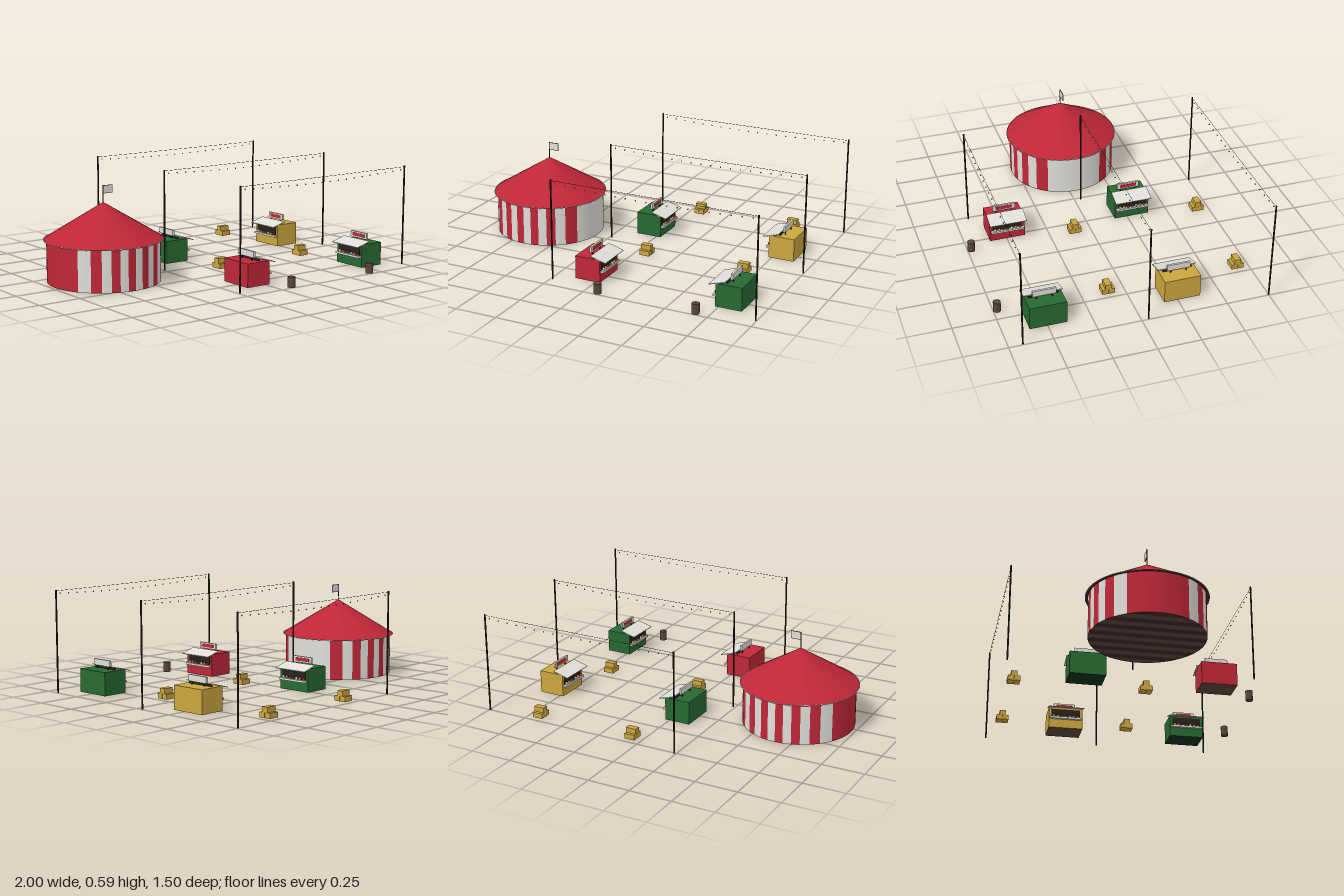
import * as THREE from 'three';

const mat = (name, color, side = THREE.FrontSide) => {
  const m = new THREE.MeshStandardMaterial({ color, side });
  m.name = name;
  return m;
};

export function createModel() {
  const red = mat('red', 0xbf2738, THREE.DoubleSide);
  const white = mat('canvas white', 0xe0ded8, THREE.DoubleSide);
  const green = mat('green', 0x276a31);
  const gold = mat('straw gold', 0xcba63e);
  const dark = mat('dark iron', 0x2a211a);
  const brown = mat('barrel brown', 0x5c443a);
  const maroon = mat('deep maroon', 0x40252a);
  const deepGreen = mat('deep green', 0x12301c);

  const group = (name, parent, x = 0, y = 0, z = 0) => {
    const g = new THREE.Group();
    g.name = name;
    g.position.set(x, y, z);
    parent.add(g);
    return g;
  };
  const add = (parent, name, geo, material, x = 0, y = 0, z = 0) => {
    const m = new THREE.Mesh(geo, material);
    m.name = name;
    m.position.set(x, y, z);
    parent.add(m);
    return m;
  };
  const box = (parent, name, material, w, h, d, x, y, z) =>
    add(parent, name, new THREE.BoxGeometry(w, h, d), material, x, y, z);

  const fair = new THREE.Group();
  fair.name = 'fairground';

  // Big round tent: stripes are equal bands across x, so they widen at both ends
  const tent = group('tent', fair, -0.658, 0, -0.04);
  const R = 0.323, H = 0.24, bands = 14;
  for (let i = 0; i < bands; i++) {
    const a = Math.asin(-1 + 2 * i / bands);
    const b = Math.asin(Math.min(1, -1 + 2 * (i + 1) / bands));
    const segs = Math.ceil((b - a) / 0.09);
    for (const start of [a, Math.PI - b]) {
      add(tent, 'wallStripe', new THREE.CylinderGeometry(R, R, H, segs, 1, true, start, b - a),
        i % 2 ? white : red, 0, H / 2, 0);
    }
    // Matching band of the floor, facing down
    const front = [], back = [];
    for (let k = 0; k <= segs; k++) {
      const t = a + (b - a) * k / segs;
      front.push(new THREE.Vector2(R * Math.sin(t), R * Math.cos(t)));
      back.unshift(new THREE.Vector2(R * Math.sin(t), -R * Math.cos(t)));
    }
    const floor = add(tent, 'floorStripe', new THREE.ShapeGeometry(new THREE.Shape([...front, ...back])),
      i % 2 ? brown : maroon, 0, 0.001, 0);
    floor.rotation.x = Math.PI / 2;
  }
  add(tent, 'roof', new THREE.ConeGeometry(0.342, 0.21, 24), [red, red, maroon], 0, 0.345, 0);
  const trim = add(tent, 'eaveTrim', new THREE.TorusGeometry(0.339, 0.002, 6, 72), white, 0, 0.2415, 0);
  trim.rotation.x = Math.PI / 2;
  add(tent, 'flagPole', new THREE.CylinderGeometry(0.003, 0.003, 0.1, 8), dark, 0, 0.495, 0);
  box(tent, 'flag', white, 0.06, 0.04, 0.004, 0.031, 0.521, 0);
  for (const y of [0.4995, 0.5425]) box(tent, 'flagHem', red, 0.06, 0.003, 0.004, 0.031, y, 0);

  // Market stall facing +x, with counter, prizes, awning and rooftop sign
  const stall = (body, base, x, z, turn) => {
    const s = group('stall', fair, x, 0, z);
    s.rotation.y = turn;
    const walls = [body, body, body, base, body, body];
    box(s, 'body', walls, 0.155, 0.136, 0.212, 0, 0.068, 0);
    box(s, 'servingWindow', dark, 0.004, 0.052, 0.18, 0.078, 0.096, 0);
    box(s, 'counter', white, 0.018, 0.012, 0.2, 0.087, 0.062, 0);
    for (let i = 0; i < 7; i++) {
      add(s, 'prize', new THREE.SphereGeometry(0.008, 8, 6), [red, gold, white, green][i % 4],
        0.087, 0.075, (i - 3) * 0.025);
    }
    const awning = box(s, 'awning', white, 0.099, 0.004, 0.222, 0.068, 0.138, 0);
    awning.rotation.z = -0.27;
    box(s, 'awningRail', dark, 0.005, 0.012, 0.17, 0.02, 0.142, 0);
    for (const side of [-1, 1]) {
      box(s, 'signPost', dark, 0.005, 0.03, 0.005, 0, 0.15, side * 0.045);
    }
    box(s, 'sign', white, 0.012, 0.036, 0.136, 0, 0.172, 0);
    box(s, 'signPanel', red, 0.002, 0.02, 0.1, 0.0065, 0.172, 0);
  };
  stall(red, brown, -0.051, 0.495, 0);
  stall(green, deepGreen, -0.051, -0.278, 0);
  stall(green, deepGreen, 0.8075, 0.495, Math.PI);
  stall(gold, brown, 0.8075, -0.278, Math.PI);

  // Rows of festoon lights between tall poles
  const x0 = -0.237, x1 = 0.994;
  for (const z of [-0.75, -0.04, 0.67]) {
    const row = group('lightRow', fair, 0, 0, z);
    for (const x of [x0, x1]) {
      add(row, 'lightPole', new THREE.CylinderGeometry(0.005, 0.005, 0.593, 8), dark, x, 0.2965, 0);
    }
    const cord = add(row, 'cord', new THREE.CylinderGeometry(0.001, 0.001, x1 - x0, 6), dark,
      (x0 + x1) / 2, 0.587, 0);
    cord.rotation.z = Math.PI / 2;
    for (let i = 0; i < 20; i++) {
      const t = (i + 0.5) / 20;
      add(row, 'bulb', new THREE.SphereGeometry(0.0042, 8, 6), gold,
        x0 + (x1 - x0) * t, 0.573 - 0.018 * Math.sin(Math.PI * t), 0);
    }
  }

  // Stacks of three straw bales
  for (const x of [0.07, 0.686]) {
    for (const z of [-0.68, 0.097]) {
      const stack = group('baleStack', fair, x, 0, z);
      box(stack, 'bale', gold, 0.063, 0.03, 0.036, 0, 0.015, -0.0185);
      box(stack, 'bale', gold, 0.063, 0.03, 0.036, 0, 0.015, 0.0185);
      box(stack, 'bale', gold, 0.063, 0.03, 0.036, 0, 0.045, 0);
    }
  }

  // Barrels
  for (const x of [0.081, 0.673]) {
    add(fair, 'barrel', new THREE.CylinderGeometry(0.022, 0.022, 0.06, 16), brown, x, 0.03, 0.728);
  }
  return fair;
}
